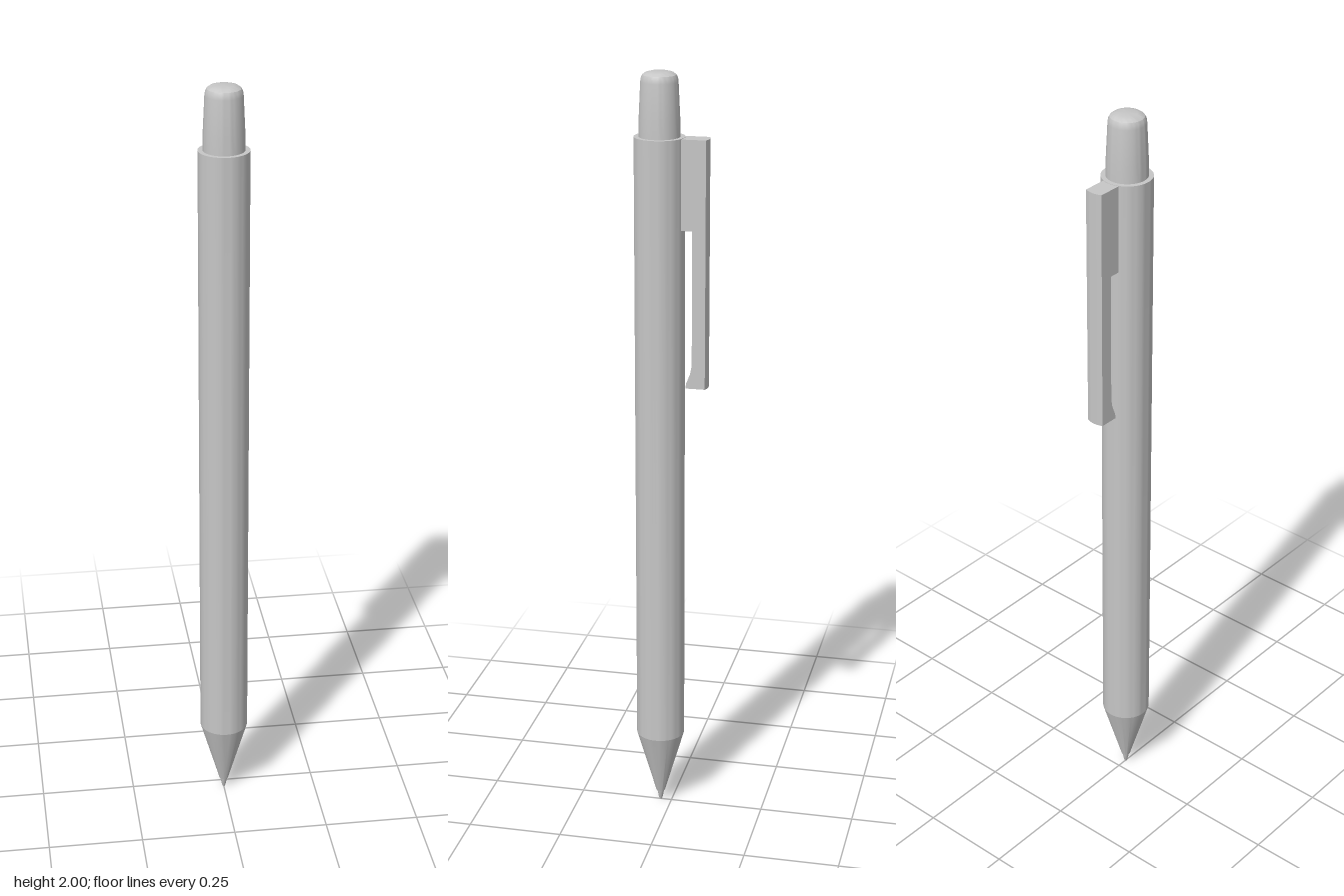
import * as THREE from 'three';
import { toCreasedNormals } from 'three/addons/utils/BufferGeometryUtils.js';

const AXIS_Z = 0.03; // pen axis sits forward of the origin, the clip is behind

export function createModel() {
  const group = new THREE.Group();
  group.name = 'pen';
  const grey = new THREE.MeshStandardMaterial({ color: 0xc6c6c6 });
  grey.name = 'light grey';

  const add = (name, geometry) => {
    const mesh = new THREE.Mesh(toCreasedNormals(geometry, 0.45), grey);
    mesh.name = name;
    group.add(mesh);
    return mesh;
  };
  // Round part from [radius, height] pairs, listed bottom to top
  const turned = (name, profile) => {
    const points = profile.map(([r, y]) => new THREE.Vector2(r, y));
    add(name, new THREE.LatheGeometry(points, 48)).position.z = AXIS_Z;
  };

  turned('barrel', [[0, 0.21], [0.064, 0.21], [0.064, 1.84], [0, 1.84]]);
  turned('tipCone', [[0, 0.03], [0.012, 0.03], [0.064, 0.21]]);
  turned('writingPoint', [[0, 0], [0.003, 0.001], [0.005, 0.006], [0.01, 0.031]]);
  turned('pushButton', [
    [0.052, 1.835], [0.0515, 1.88], [0.047, 1.975], [0.0455, 1.985],
    [0.042, 1.992], [0.035, 1.997], [0.024, 2], [0, 2],
  ]);

  // Clip: side outline (distance behind origin, height) swept across its width
  const half = 0.024, back = 0.092;
  const outline = new THREE.Shape([
    [0.028, 1.839], [0.028, 1.61], [0.058, 1.61], [0.058, 1.262],
    [0.054, 1.24], [0.043, 1.212], [0.042, 1.2], [back, 1.2], [back, 1.839],
  ].map(([u, y]) => new THREE.Vector2(u, y)));
  const clip = new THREE.ExtrudeGeometry(outline, { depth: 2 * half, steps: 10, bevelEnabled: false });
  clip.rotateY(Math.PI / 2).translate(-half, 0, 0);
  // Bow the rear face outward across the width
  const p = clip.attributes.position;
  for (let i = 0; i < p.count; i++) {
    if (p.getZ(i) < -back + 0.001) p.setZ(i, -back - 0.005 * (1 - (p.getX(i) / half) ** 2));
  }
  add('clip', clip);

  return group;
}
